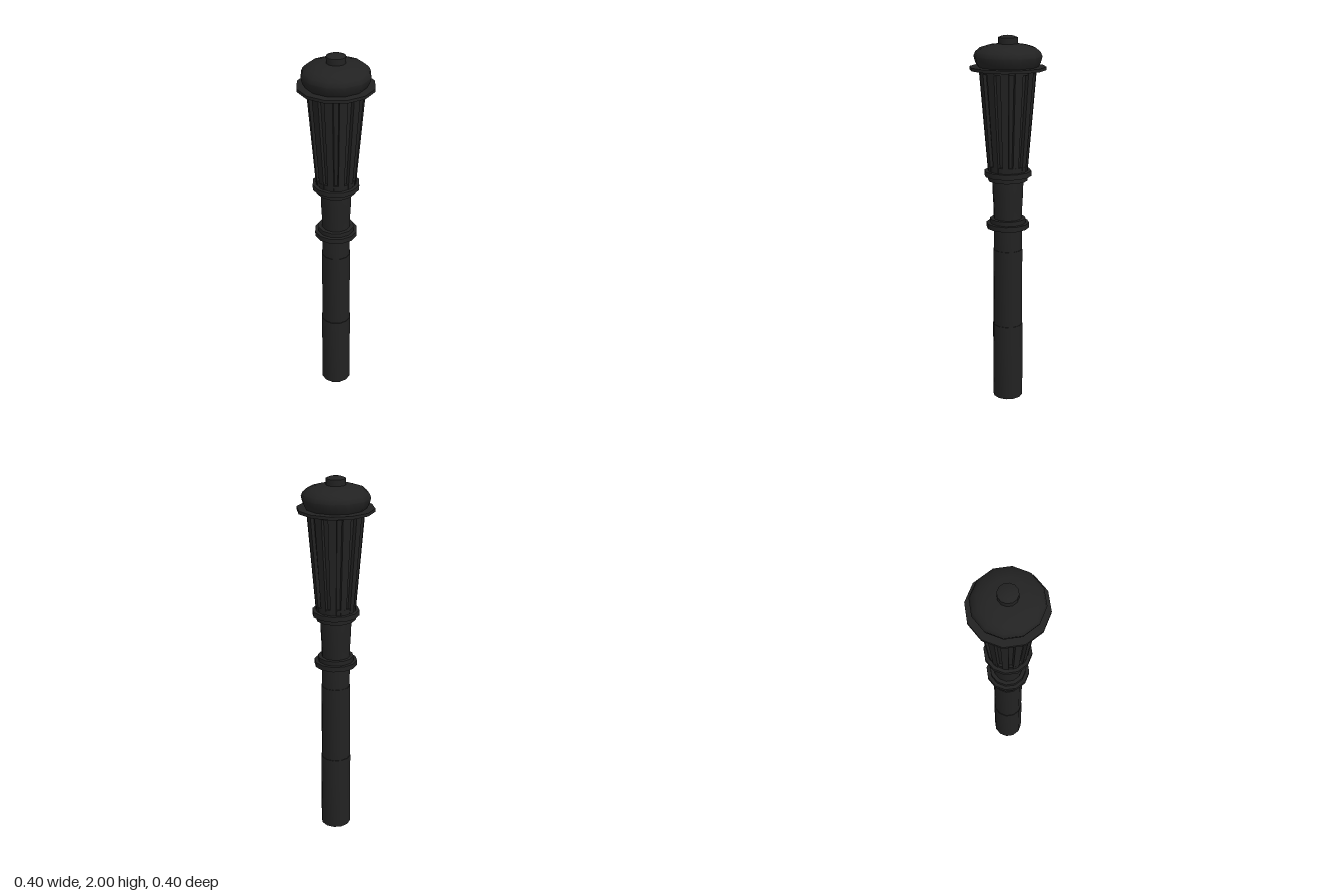
import * as THREE from 'three';
import { toCreasedNormals } from 'three/addons/utils/BufferGeometryUtils.js';

const SIDES = 12;

export function createModel() {
  const group = new THREE.Group();
  const iron = new THREE.MeshStandardMaterial({ color: 0x222222 });

  // Twelve-sided turned part from [radius, height] pairs, bottom to top
  const turned = (name, profile) => {
    const points = profile.map(([r, y]) => new THREE.Vector2(r, y));
    const geometry = toCreasedNormals(new THREE.LatheGeometry(points, SIDES), 0.6);
    const mesh = new THREE.Mesh(geometry, iron);
    mesh.name = name;
    group.add(mesh);
  };
  const ring = (name, r, y0, y1) => turned(name, [[0, y0], [r, y0], [r, y1], [0, y1]]);

  // Pole, slimming in steps towards the collar
  turned('pole', [[0, 0], [0.082, 0], [0.082, 0.43], [0.079, 0.43], [0.079, 0.86],
    [0.076, 0.86], [0.076, 0.99]]);
  ring('lowerCollar', 0.115, 0.983, 1.01);
  ring('lowerCollarStep', 0.096, 1.01, 1.034);

  // Neck and the collar under the fluted head
  turned('neck', [[0.076, 1.03], [0.077, 1.09], [0.082, 1.18], [0.083, 1.25]]);
  ring('upperCollarStep', 0.106, 1.243, 1.268);
  ring('upperCollar', 0.125, 1.268, 1.296);

  // Tapered head: recessed core, closed bands at both ends, ribs between them
  const y0 = 1.296, y1 = 1.826;
  const radiusAt = (y) => THREE.MathUtils.mapLinear(y, y0, y1, 0.106, 0.15);
  const depth = 0.014;
  turned('headCore', [[radiusAt(y0) - depth, y0], [radiusAt(y1) - depth, y1]]);
  const band = (name, a, b) => turned(name, [[radiusAt(a) - depth, a], [radiusAt(a), a],
    [radiusAt(b), b], [radiusAt(b) - depth, b]]);
  band('headBottomBand', y0, 1.325);
  band('headTopBand', 1.808, y1);

  // Each rib is a box whose corners follow the taper of the head
  const ribGeometry = new THREE.BoxGeometry(1, 1, 1);
  const position = ribGeometry.attributes.position;
  for (let i = 0; i < position.count; i++) {
    const y = position.getY(i) < 0 ? y0 : y1;
    const r = radiusAt(y);
    const z = position.getZ(i) > 0 ? r * 0.985 : r - 0.03;
    position.setXYZ(i, position.getX(i) * r * 0.29, y, z);
  }
  ribGeometry.computeVertexNormals();
  const ribs = new THREE.Group();
  ribs.name = 'headRibs';
  for (let i = 0; i < SIDES; i++) {
    const rib = new THREE.Mesh(ribGeometry, iron);
    rib.name = 'rib';
    rib.rotation.y = (i / SIDES) * Math.PI * 2;
    ribs.add(rib);
  }
  group.add(ribs);

  // Brim, domed lid and knob
  ring('brim', 0.2, 1.824, 1.84);
  turned('lid', [[0.157, 1.84], [0.17, 1.862], [0.178, 1.893], [0.17, 1.914],
    [0.145, 1.936], [0.1, 1.95], [0.05, 1.956], [0, 1.956]]);
  turned('knob', [[0.051, 1.95], [0.051, 1.988], [0.03, 1.996], [0, 2]]);

  return group;
}
